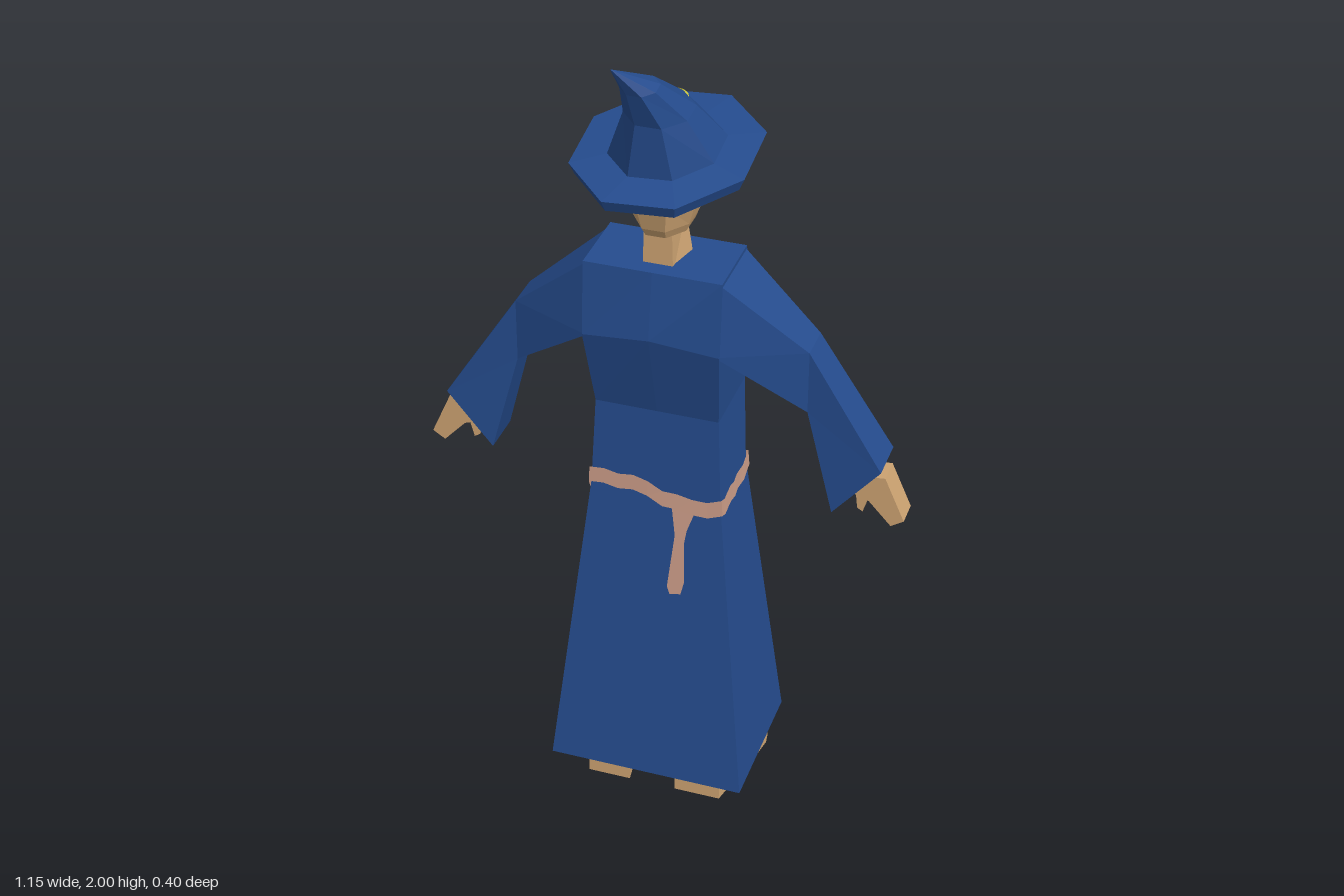
import * as THREE from 'three';

const mat = (name, color, side = THREE.FrontSide) => {
  const m = new THREE.MeshStandardMaterial({ color, side });
  m.name = name;
  return m;
};

// Flat-shaded geometry from a list of triangles
function fromTriangles(tris) {
  const g = new THREE.BufferGeometry().setFromPoints(tris);
  g.computeVertexNormals();
  return g;
}

// Joins equal-sized rings of points; caps both ends and turns faces outwards
function loft(rings, capped = true) {
  const tris = [];
  const n = rings[0].length;
  for (let r = 0; r < rings.length - 1; r++) {
    const a = rings[r], b = rings[r + 1];
    for (let i = 0; i < n; i++) {
      const j = (i + 1) % n;
      tris.push(a[i], a[j], b[j], a[i], b[j], b[i]);
    }
  }
  if (capped) {
    const first = rings[0], last = rings[rings.length - 1];
    for (let i = 1; i < n - 1; i++) {
      tris.push(first[0], first[i + 1], first[i], last[0], last[i], last[i + 1]);
    }
  }
  let volume = 0;
  for (let i = 0; i < tris.length; i += 3) {
    volume += tris[i].dot(new THREE.Vector3().crossVectors(tris[i + 1], tris[i + 2]));
  }
  if (volume < 0) tris.reverse();
  return fromTriangles(tris);
}

const V = (x, y, z) => new THREE.Vector3(x, y, z);

// Octagonal ring
function octagon(cx, cz, rx, rz, height) {
  return Array.from({ length: 8 }, (_, i) => {
    const a = Math.PI * (0.125 + i * 0.25);
    const x = cx + rx * Math.cos(a), z = cz + rz * Math.sin(a);
    return V(x, height(x, z), z);
  });
}

// Thin painted shape laid on a surface; dir is the side (+1 front, -1 back)
function decal(target, outline, [cx, cy], dir, steps = 7) {
  const ray = new THREE.Raycaster();
  const project = (x, y) => {
    ray.set(V(x, y, dir * 2), V(0, 0, -dir));
    const hit = ray.intersectObject(target)[0];
    return hit ? V(x, y, hit.point.z + dir * 0.005) : null;
  };
  const dense = [];
  outline.forEach(([x, y], i) => {
    const [nx, ny] = outline[(i + 1) % outline.length];
    for (let k = 0; k < 4; k++) dense.push([x + (nx - x) * k / 4, y + (ny - y) * k / 4]);
  });
  const tris = [];
  const add = (...p) => { if (p.every(Boolean)) tris.push(...(dir > 0 ? p : [p[0], p[2], p[1]])); };
  const rings = [];
  for (let s = 0; s <= steps; s++) {
    rings.push(dense.map(([x, y]) => project(cx + (x - cx) * s / steps, cy + (y - cy) * s / steps)));
  }
  for (let s = 0; s < steps; s++) {
    dense.forEach((_, i) => {
      const j = (i + 1) % dense.length;
      add(rings[s][i], rings[s + 1][i], rings[s + 1][j]);
      if (s > 0) add(rings[s][i], rings[s + 1][j], rings[s][j]);
    });
  }
  return fromTriangles(tris);
}

// Robe sections: y, half width, front z, back z, bulge at the centre
const ROBE = [
  [0.095, 0.242, 0.155, -0.205, 0],
  [0.88, 0.157, 0.07, -0.127, 0],
  [1.1, 0.147, 0.06, -0.138, 0],
  [1.3, 0.16, 0.105, -0.142, 0.012],
  [1.48, 0.16, 0.09, -0.09, 0],
];

// Outline of the robe at a height, grown by a margin
function robeAt(y, margin) {
  const i = y < ROBE[1][0] ? 0 : 1;
  const t = (y - ROBE[i][0]) / (ROBE[i + 1][0] - ROBE[i][0]);
  const [w, f, b] = [1, 2, 3].map((k) => THREE.MathUtils.lerp(ROBE[i][k], ROBE[i + 1][k], t));
  return [w + margin, f + margin, b - margin];
}

export function createModel() {
  const model = new THREE.Group();
  model.name = 'robedFigure';
  const blue = mat('robeBlue', 0x254c8e);
  const skin = mat('skin', 0xcfa573);
  const yellow = mat('starYellow', 0xded63e, THREE.DoubleSide);
  const rope = mat('ropeTan', 0xcb9c87, THREE.DoubleSide);
  const add = (name, geometry, material) => {
    const mesh = new THREE.Mesh(geometry, material);
    mesh.name = name;
    model.add(mesh);
    return mesh;
  };

  // Robe body
  const robe = add('robe', loft(ROBE.map(([y, w, f, b, c]) => [
    V(-w, y, f), V(0, y + c * 1.7, f + c), V(w, y, f),
    V(w, y, b), V(0, y + c * 1.7, b - c * 0.5), V(-w, y, b),
  ])), blue);

  // Sleeves, hands, feet: one per side
  for (const s of [-1, 1]) {
    const side = s > 0 ? 'left' : 'right';
    const sleeve = [
      // top x, y, bottom x, y, top front/back z, bottom front/back z
      [0.15, 1.48, 0.15, 1.3, 0.09, -0.09, 0.105, -0.142],
      [0.345, 1.31, 0.345, 1.155, 0.035, -0.055, 0.035, -0.055],
      [0.522, 1.035, 0.412, 0.903, 0.045, -0.065, 0.045, -0.065],
    ];
    add(side + 'Sleeve', loft(sleeve.map(([tx, ty, bx, by, tf, tb, bf, bb]) =>
      [V(s * tx, ty, tf), V(s * tx, ty, tb), V(s * bx, by, bb), V(s * bx, by, bf)])), blue);

    // Hand and thumb, flat outlines with depth
    const slab = (pts, z0, z1) => loft([z0, z1].map((z) => pts.map(([x, y]) => V(s * x, y, z))));
    add(side + 'Hand', slab([[0.48, 1.0], [0.527, 1.005], [0.575, 0.897], [0.545, 0.878],
      [0.492, 0.935], [0.45, 0.95]], -0.045, 0.02), skin);
    add(side + 'Thumb', slab([[0.455, 0.96], [0.49, 0.95], [0.475, 0.892], [0.462, 0.9]],
      -0.03, 0.005), skin);

    // Foot: z, inner x, outer x, height
    const shift = s < 0 ? 0.008 : 0;
    const foot = [
      [0.09, 0.055, 0.17, 0.072], [-0.1, 0.082, 0.212, 0.068],
      [-0.15, 0.095, 0.22, 0.05], [-0.18, 0.105, 0.215, 0.012],
    ];
    add(side + 'Foot', loft(foot.map(([z, a, b, h]) => [
      V(s * (a + shift), 0, z), V(s * b, 0, z), V(s * b, h, z), V(s * (a + shift), h, z),
    ])), skin);
    const ankle = add(side + 'Ankle', new THREE.BoxGeometry(0.09, 0.05, 0.11), skin);
    ankle.position.set(s * 0.125, 0.085, 0.02);
  }

  // Neck and head
  add('neck', loft([[1.46, 0.035, 0.055], [1.58, 0.032, 0.036]].map(([y, f, b]) =>
    [V(-f, y, 0.05), V(f, y, 0.05), V(b, y, -0.035), V(-b, y, -0.035)])), skin);
  const c = Math.cos(Math.PI / 8);
  add('head', loft([
    [1.557, 0.055, 0.065, -0.09], [1.58, 0.064, 0.08, -0.1],
    [1.65, 0.085, 0.1, -0.105], [1.725, 0.09, 0.088, -0.1],
  ].map(([y, w, f, b]) => octagon(0, (f + b) / 2, w / c, (f - b) / 2 / c, () => y))), skin);

  // Tilted hat: brim underside, brim edge, then the bent cone
  const brim = (offset) => (x, z) => 1.745 + offset + 0.07 * x - 0.195 * z;
  const hat = add('hat', loft([
    octagon(0.007, 0.005, 0.2, 0.2, brim(-0.028)),
    octagon(0.007, 0.005, 0.213, 0.211, brim(0)),
    octagon(0.007, 0.005, 0.13, 0.127, brim(0.008)),
    octagon(0.005, 0.05, 0.077, 0.083, (x, z) => 1.86 - 0.1 * (z - 0.05)),
    octagon(-0.016, 0.115, 0.043, 0.043, (x, z) => 1.94 - 0.15 * (z - 0.115)),
    octagon(-0.055, 0.18, 0.002, 0.002, () => 2),
  ]), blue);

  // Stars on the back of the robe and hat
  const star = (cx, cy, rx, ry, longLeg) => Array.from({ length: 10 }, (_, i) => {
    const a = Math.PI / 2 + i * Math.PI / 5;
    const r = (i % 2 ? 0.48 : 1) * (i === 4 ? longLeg : 1);
    return [cx + rx * r * Math.cos(a), cy + ry * r * Math.sin(a)];
  });
  add('robeStar', decal(robe, star(0, 1.185, 0.125, 0.125, 1.22), [0, 1.185], -1), yellow);
  add('hatStar', decal(hat, star(0, 1.858, 0.058, 0.054, 1.1), [0, 1.858], -1), yellow);

  // Rope belt: a wavy band around the waist
  const belt = [[], []];
  const N = 9;
  for (let k = 0; k < 4 * N; k++) {
    const edge = Math.floor(k / N), t = (k % N) / N * 2 - 1;
    const drop = edge === 0 ? 0.018 * -Math.tanh(t * 4) : edge === 2 ? 0.006 * Math.cos(t * 5) : -0.01;
    const mid = 0.882 + drop + 0.004 * Math.sin(k * 2.3);
    [-0.02, 0.02].forEach((d, row) => {
      const y = mid + d;
      const [w, f, b] = robeAt(y, 0.005);
      const m = (f + b) / 2, h = (f - b) / 2;
      belt[row].push([V(w * t, y, f), V(w, y, m - h * t), V(-w * t, y, b), V(-w, y, m + h * t)][edge]);
    });
  }
  add('belt', loft(belt, false), rope);

  // Hanging rope ends, front and back
  add('frontRopeEnd', decal(robe, [[0.04, 0.87], [0.052, 0.78], [0.038, 0.64], [0.045, 0.62],
    [0.072, 0.625], [0.08, 0.66], [0.075, 0.76], [0.085, 0.83], [0.105, 0.87]], [0.064, 0.75], 1), rope);
  add('backRopeEnd', decal(robe, [[-0.05, 0.875], [-0.062, 0.79], [-0.045, 0.72], [-0.06, 0.66],
    [-0.09, 0.65], [-0.118, 0.68], [-0.118, 0.74], [-0.1, 0.79], [-0.115, 0.87]], [-0.082, 0.76], -1), rope);

  return model;
}
